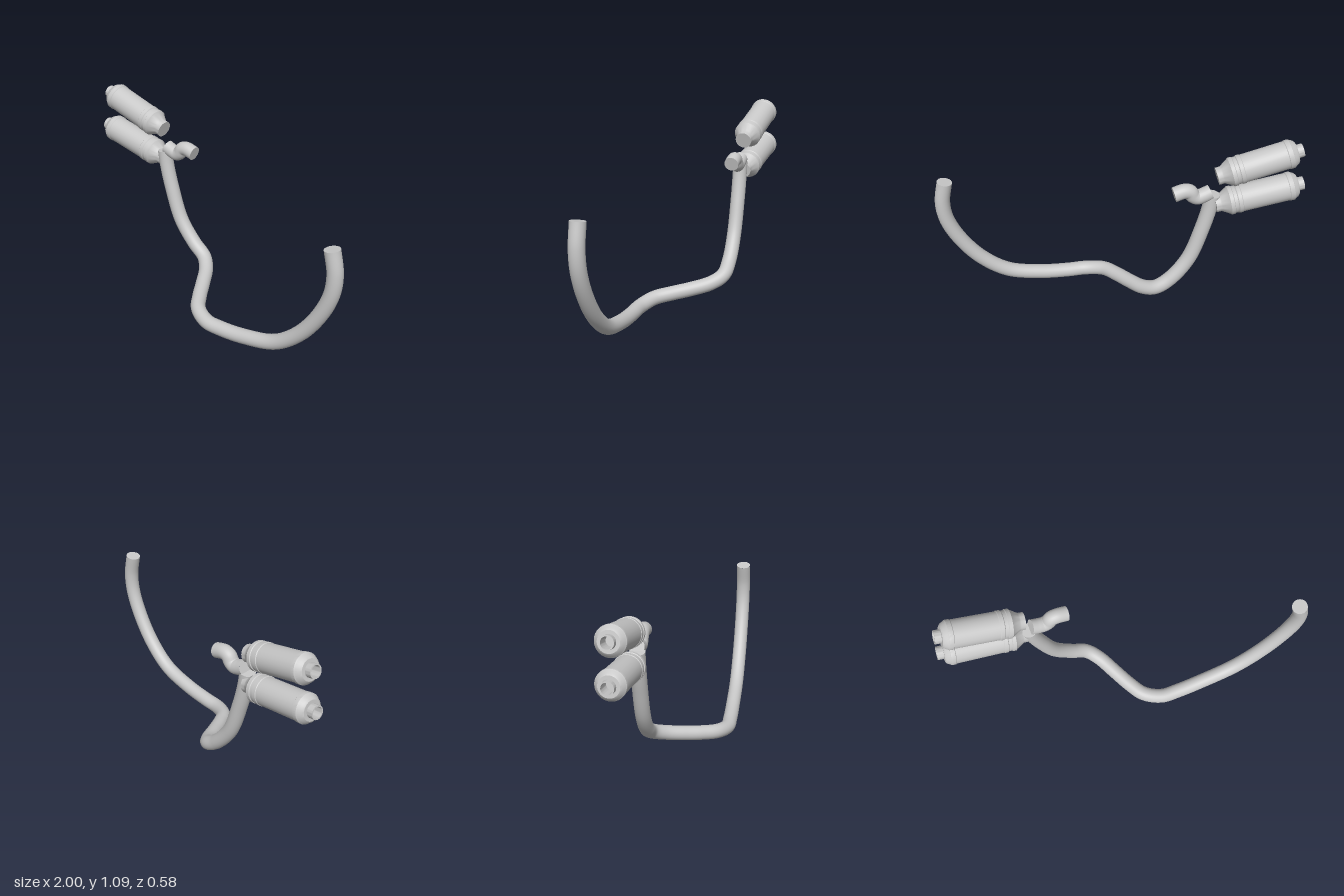
import * as THREE from 'three';
import { toCreasedNormals } from 'three/addons/utils/BufferGeometryUtils.js';

const steel = new THREE.MeshStandardMaterial({ color: 0xc8c8c8 });
steel.name = 'brushed steel';

const vec = (p) => new THREE.Vector3(...p);

// Round pipe along a smooth path, closed with a flat disc at both ends
function pipe(name, points, radius, segments) {
  const group = new THREE.Group();
  group.name = name;
  const curve = new THREE.CatmullRomCurve3(points.map(vec), false, 'centripetal');
  const tube = new THREE.Mesh(new THREE.TubeGeometry(curve, segments, radius, 28), steel);
  tube.name = name + 'Tube';
  group.add(tube);
  for (const t of [0, 1]) {
    const cap = new THREE.Mesh(new THREE.CircleGeometry(radius, 28), steel);
    cap.name = name + 'End';
    const dir = curve.getTangentAt(t).multiplyScalar(t ? 1 : -1);
    cap.position.copy(curve.getPointAt(t));
    cap.quaternion.setFromUnitVectors(new THREE.Vector3(0, 0, 1), dir);
    group.add(cap);
  }
  return group;
}

// Silencer turned about its axis, from hollow outlet to closed inlet
function silencer(name, outlet, inlet) {
  const a = vec(outlet), dir = vec(inlet).sub(a);
  const L = dir.length();
  const profile = [
    [0, 0.09], [0.03, 0.09], [0.03, 0], [0.037, 0], [0.037, 0.035], // outlet tube
    [0.056, 0.035], [0.066, 0.043], [0.076, 0.062], [0.08, 0.066], [0.08, 0.09], // end cap
    [0.077, 0.093], [0.077, L - 0.145], // body
    [0.08, L - 0.142], [0.08, L - 0.122], [0.076, L - 0.118], [0.076, L - 0.1], // clamp bands
    [0.08, L - 0.097], [0.08, L - 0.077], [0.075, L - 0.073],
    [0.051, L - 0.033], [0.048, L - 0.026], [0.048, L], [0, L], // inlet cone and neck
  ].map(([r, y]) => new THREE.Vector2(r, y));
  const mesh = new THREE.Mesh(toCreasedNormals(new THREE.LatheGeometry(profile, 40), 0.5), steel);
  mesh.name = name;
  mesh.position.copy(a);
  mesh.quaternion.setFromUnitVectors(new THREE.Vector3(0, 1, 0), dir.normalize());
  return mesh;
}

export function createModel() {
  const model = new THREE.Group();
  model.name = 'exhaustSystem';

  // Long header pipe sweeping down, across and back up
  model.add(pipe('headerPipe', [
    [0.93, 0.81, 0.241], [0.955, 0.68, 0.241], [0.945, 0.56, 0.241], [0.885, 0.41, 0.241],
    [0.77, 0.245, 0.241], [0.62, 0.125, 0.241], [0.42, 0.07, 0.241], [0.26, 0.052, 0.241],
    [0.15, 0.052, 0.235], [0.05, 0.07, 0.185], [-0.01, 0.085, 0.1], [-0.065, 0.104, 0],
    [-0.125, 0.132, -0.105], [-0.185, 0.168, -0.162], [-0.27, 0.23, -0.173],
    [-0.37, 0.36, -0.173], [-0.44, 0.56, -0.173], [-0.475, 0.7, -0.173], [-0.488, 0.79, -0.173],
  ], 0.0425, 160));

  // Short S-shaped branch at the joint
  model.add(pipe('branchPipe', [
    [-0.475, 0.812, -0.178], [-0.435, 0.796, -0.178], [-0.4, 0.788, -0.178],
    [-0.375, 0.802, -0.178], [-0.355, 0.83, -0.178], [-0.325, 0.838, -0.178],
    [-0.267, 0.824, -0.178],
  ], 0.0415, 60));

  // Twin silencers
  model.add(silencer('upperSilencer', [-0.965, 1.035, -0.217], [-0.502, 0.913, -0.185]));
  model.add(silencer('lowerSilencer', [-0.993, 0.816, -0.217], [-0.502, 0.731, -0.185]));
  return model;
}
